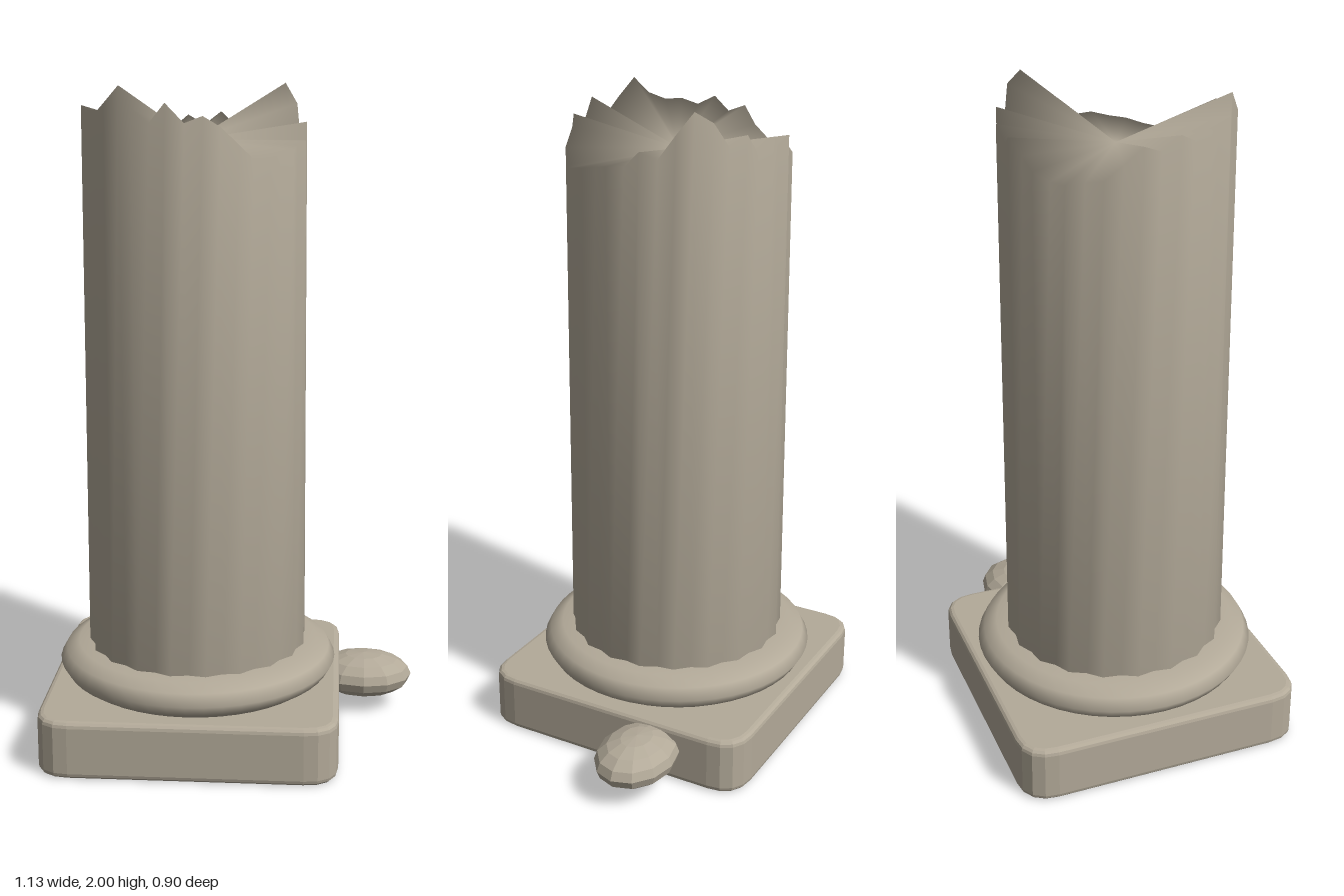
import * as THREE from 'three';

const AXIS_X = -0.12;

// Fluted shaft: jagged rim heights every 9 degrees, starting at +x and turning towards +z
const RIM = [
  1.84, 1.84, 1.83, 1.82, 1.81, 1.80, 1.80, 1.84, 1.89, 1.92,
  1.90, 1.955, 1.90, 1.94, 2.0, 1.95, 1.93, 1.93, 1.915, 1.94,
  1.90, 1.92, 1.87, 1.83, 1.82, 1.81, 1.81, 1.83, 1.86, 1.90,
  1.87, 1.91, 1.87, 1.93, 1.90, 1.97, 2.0, 1.94, 1.87, 1.89,
];

function shaftGeometry() {
  const n = RIM.length, pos = [], idx = [];
  const ring = (radius, depth, height) => {
    for (let i = 0; i < n; i++) {
      const a = (i / n) * Math.PI * 2;
      const r = radius - (i % 2 === 0 ? depth : 0); // even steps are grooves
      pos.push(r * Math.cos(a), height(i), r * Math.sin(a));
    }
  };
  ring(0.342, 0.012, () => 0.2);
  ring(0.332, 0.012, (i) => RIM[i]);
  pos.push(0, 0.2, 0, 0, 1.84, 0);
  const bottom = 2 * n, top = 2 * n + 1;
  for (let i = 0; i < n; i++) {
    const j = (i + 1) % n;
    idx.push(i, n + i, j, j, n + i, n + j); // wall
    idx.push(top, n + j, n + i);            // broken top
    idx.push(bottom, i, j);                 // underside
  }
  const g = new THREE.BufferGeometry();
  g.setAttribute('position', new THREE.Float32BufferAttribute(pos, 3));
  g.setIndex(idx);
  g.computeVertexNormals();
  return g;
}

// Square plinth with rounded corners and softened edges
function plinthGeometry() {
  const bevel = 0.018, h = 0.45 - bevel, c = 0.085;
  const s = new THREE.Shape();
  s.moveTo(-h + c, -h);
  s.lineTo(h - c, -h);
  s.quadraticCurveTo(h, -h, h, -h + c);
  s.lineTo(h, h - c);
  s.quadraticCurveTo(h, h, h - c, h);
  s.lineTo(-h + c, h);
  s.quadraticCurveTo(-h, h, -h, h - c);
  s.lineTo(-h, -h + c);
  s.quadraticCurveTo(-h, -h, -h + c, -h);
  const g = new THREE.ExtrudeGeometry(s, {
    depth: 0.18 - 2 * bevel, bevelEnabled: true, bevelThickness: bevel,
    bevelSize: bevel, bevelSegments: 3, curveSegments: 4,
  });
  g.rotateX(-Math.PI / 2);
  g.translate(0, bevel, 0);
  return g;
}

export function createModel() {
  const stone = new THREE.MeshStandardMaterial({ color: 0xb3aa99 });
  stone.name = 'weathered stone';
  const model = new THREE.Group();
  model.name = 'brokenColumn';
  const add = (name, geometry, x, y, z) => {
    const m = new THREE.Mesh(geometry, stone);
    m.name = name;
    m.position.set(x, y, z);
    model.add(m);
    return m;
  };

  add('plinth', plinthGeometry(), AXIS_X, 0, 0);

  // Rounded ring under the shaft
  const profile = [
    [0.30, 0.175], [0.385, 0.18], [0.415, 0.2], [0.434, 0.232],
    [0.415, 0.267], [0.375, 0.287], [0.30, 0.29],
  ].map(([r, y]) => new THREE.Vector2(r, y));
  add('baseRing', new THREE.LatheGeometry(profile, 48), AXIS_X, 0, 0);

  add('shaft', shaftGeometry(), AXIS_X, 0, 0);

  // Faceted fragment lying beside the plinth
  const rock = new THREE.SphereGeometry(1, 12, 8).toNonIndexed();
  rock.scale(0.155, 0.07, 0.12);
  rock.computeVertexNormals();
  add('fallenFragment', rock, 0.41, 0.11, -0.153);

  return model;
}
